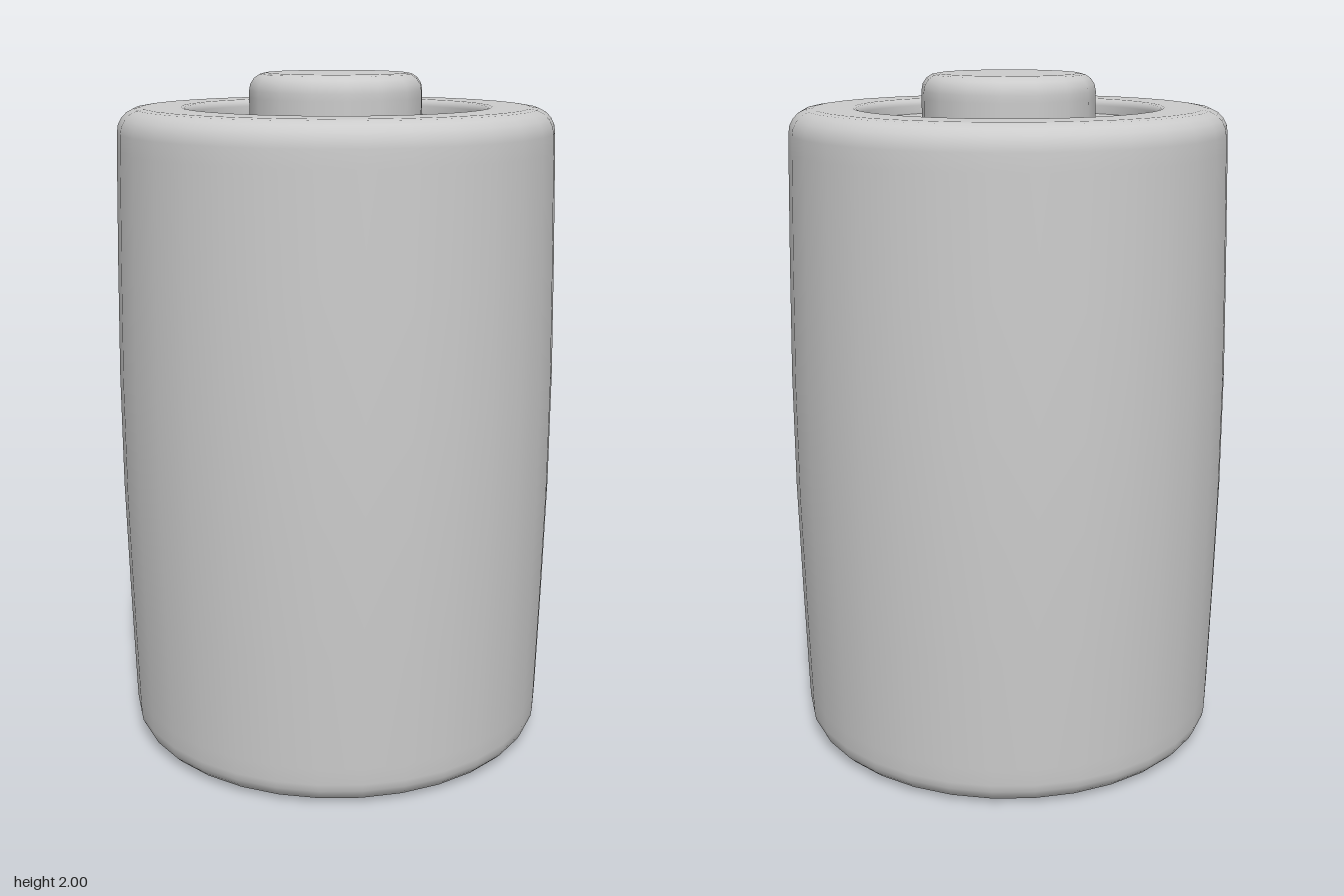
import * as THREE from 'three';

const H = 1.905, FLOOR = 0.045;
const material = new THREE.MeshStandardMaterial({ color: 0xcccccc });

function lathe(name, points, segments) {
  const mesh = new THREE.Mesh(
    new THREE.LatheGeometry(points.map(([r, y]) => new THREE.Vector2(r, y)), segments), material);
  mesh.name = name;
  return mesh;
}

// Quarter-round corner points, angles in degrees
function corner(cx, cy, r, from, to, steps) {
  return Array.from({ length: steps + 1 }, (_, i) => {
    const a = THREE.MathUtils.degToRad(from + (to - from) * i / steps);
    return [cx + r * Math.cos(a), cy + r * Math.sin(a)];
  });
}

export function createModel() {
  const group = new THREE.Group();
  group.name = 'battery';

  // Lower half of the casing: recess wall, rounded lip, rounded outer edge, bulging side
  const lower = [
    [0.43, FLOOR],
    ...corner(0.45, 0.02, 0.02, 180, 270, 3),
    [0.47, 0], [0.55, 0],
    ...corner(0.562, 0.07, 0.07, -90, 0, 5),
    [0.634, 0.12], [0.643, 0.45], [0.65, 0.78],
  ];
  const upper = lower.map(([r, y]) => [r, H - y]).reverse();
  group.add(lathe('casing', [...lower, ...upper], 32));

  // Flat end plates inside both recesses
  for (const [name, y, turn] of [['topPlate', H - FLOOR, -1], ['bottomPlate', FLOOR, 1]]) {
    const plate = new THREE.Mesh(new THREE.CircleGeometry(0.432, 32, Math.PI / 2), material);
    plate.name = name;
    plate.rotation.x = turn * Math.PI / 2;
    plate.position.y = y;
    group.add(plate);
  }

  // Raised contact with a rounded top edge
  group.add(lathe('terminal', [
    [0.252, H - FLOOR], [0.252, 1.93],
    ...corner(0.202, 1.95, 0.05, 0, 90, 4),
    [0.18, 2], [0, 2],
  ], 16));

  return group;
}
